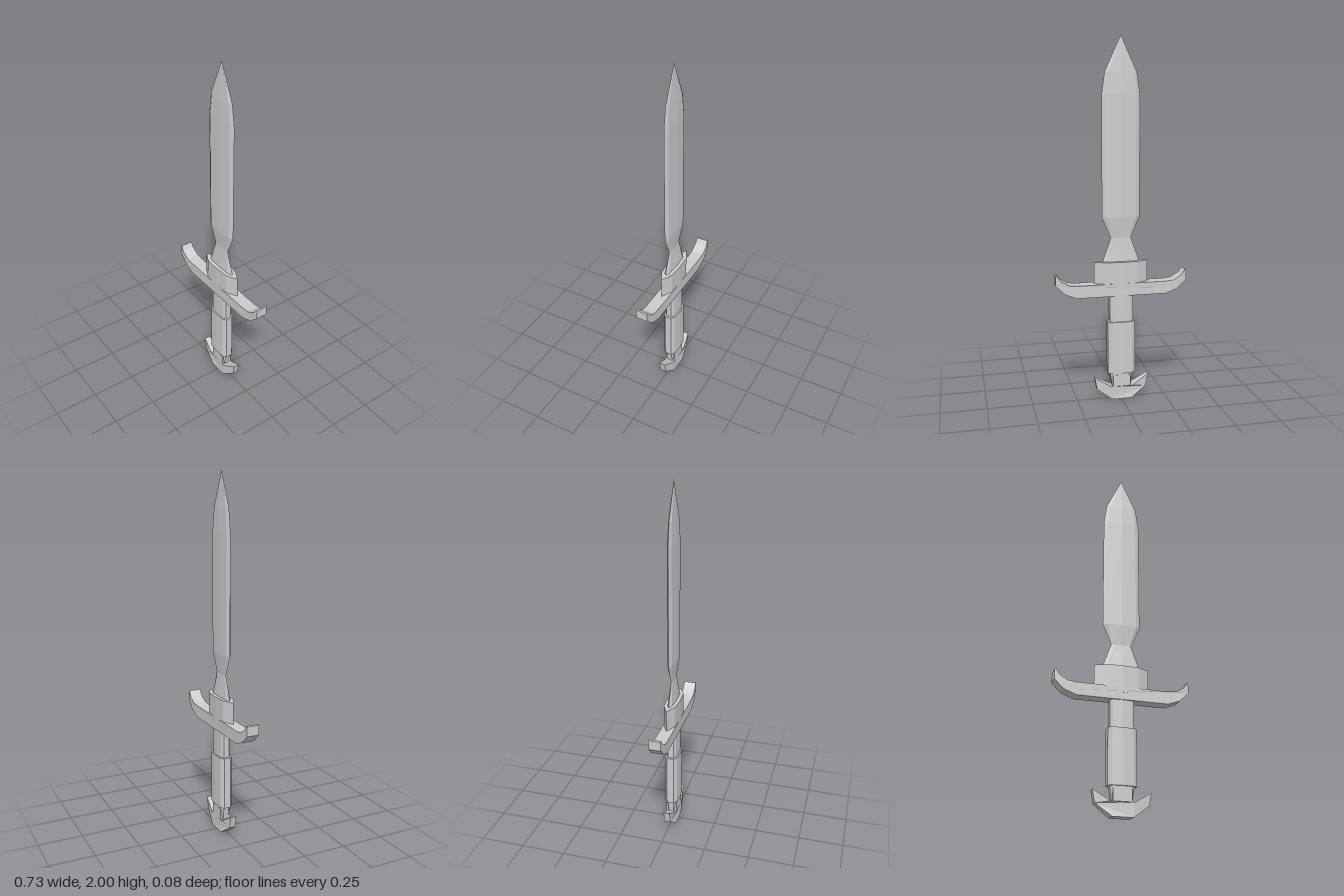
import * as THREE from 'three';

const material = new THREE.MeshStandardMaterial({ color: 0xcccccc, flatShading: true });

// Eight-sided outline as seen from above; bevelX and bevelZ place the four corner points.
const outline = (bevelX, bevelZ) => [
  [1, 0], [bevelX, -bevelZ], [0, -1], [-bevelX, -bevelZ],
  [-1, 0], [-bevelX, bevelZ], [0, 1], [bevelX, bevelZ],
];

// Skins an outline through sections of [y, half width, half depth] and caps both ends.
function loft(name, ring, sections) {
  const n = ring.length;
  const pos = [];
  const index = [];
  for (const [y, w, d] of sections) {
    for (const [x, z] of ring) pos.push(x * w, y, z * d);
  }
  for (let s = 0; s < sections.length - 1; s++) {
    for (let i = 0; i < n; i++) {
      const a = s * n + i;
      const b = s * n + (i + 1) % n;
      index.push(a, b, b + n, a, b + n, a + n);
    }
  }
  const top = (sections.length - 1) * n;
  for (let i = 1; i < n - 1; i++) {
    index.push(0, i + 1, i, top, top + i, top + i + 1);
  }
  const geometry = new THREE.BufferGeometry();
  geometry.setAttribute('position', new THREE.Float32BufferAttribute(pos, 3));
  geometry.setIndex(index);
  geometry.computeVertexNormals();
  const mesh = new THREE.Mesh(geometry, material);
  mesh.name = name;
  return mesh;
}

// Mirrors a right-hand profile (bottom to top), extrudes it and narrows it towards the tips.
function mirroredPlate(name, half, halfDepth, taperFrom, taperTo, tipScale) {
  const points = [...half, ...half.map(([x, y]) => [-x, y]).reverse()];
  const shape = new THREE.Shape(points.map(([x, y]) => new THREE.Vector2(x, y)));
  const geometry = new THREE.ExtrudeGeometry(shape, { depth: halfDepth * 2, bevelEnabled: false });
  geometry.translate(0, 0, -halfDepth);
  const p = geometry.attributes.position;
  for (let i = 0; i < p.count; i++) {
    const t = THREE.MathUtils.clamp((Math.abs(p.getX(i)) - taperFrom) / (taperTo - taperFrom), 0, 1);
    p.setZ(i, p.getZ(i) * THREE.MathUtils.lerp(1, tipScale, t));
  }
  geometry.computeVertexNormals();
  const mesh = new THREE.Mesh(geometry, material);
  mesh.name = name;
  return mesh;
}

export function createModel() {
  const group = new THREE.Group();
  group.name = 'dagger';

  // Blade with a pinched neck above the collar and a pointed tip
  group.add(loft('blade', outline(0.78, 0.75), [
    [0.78, 0.107, 0.018],
    [0.92, 0.056, 0.005],
    [1.035, 0.105, 0.017],
    [1.69, 0.105, 0.016],
    [1.81, 0.088, 0.012],
    [2.0, 0.0005, 0.0005],
  ]));

  // Collar holding the blade
  group.add(loft('collar', outline(0.58, 0.87), [
    [0.64, 0.15, 0.037],
    [0.79, 0.15, 0.037],
  ]));

  // Cross guard with upturned ends
  group.add(mirroredPlate('crossGuard', [
    [0.25, 0.6], [0.315, 0.625], [0.367, 0.675], [0.367, 0.728], [0.36, 0.732],
    [0.34, 0.702], [0.295, 0.675], [0.25, 0.67],
  ], 0.036, 0.35, 0.367, 0.94));

  // Handle core, narrowing into the pommel
  const handleOutline = [
    [1, 0.5], [1, -0.5], [0.75, -0.88], [0, -1], [-0.75, -0.88],
    [-1, -0.5], [-1, 0.5], [-0.75, 0.88], [0, 1], [0.75, 0.88],
  ];
  group.add(loft('handle', handleOutline, [
    [0.05, 0.05, 0.027],
    [0.15, 0.064, 0.031],
    [0.62, 0.066, 0.031],
  ]));

  // Thicker grip around the handle
  group.add(loft('grip', handleOutline, [
    [0.152, 0.077, 0.039],
    [0.45, 0.077, 0.039],
  ]));

  // Anchor-shaped pommel with wings that thin out
  group.add(mirroredPlate('pommel', [
    [0.055, 0], [0.14, 0.062], [0.153, 0.13], [0.062, 0.075], [0.05, 0.075], [0.05, 0.14],
  ], 0.03, 0.06, 0.14, 0.6));

  return group;
}
